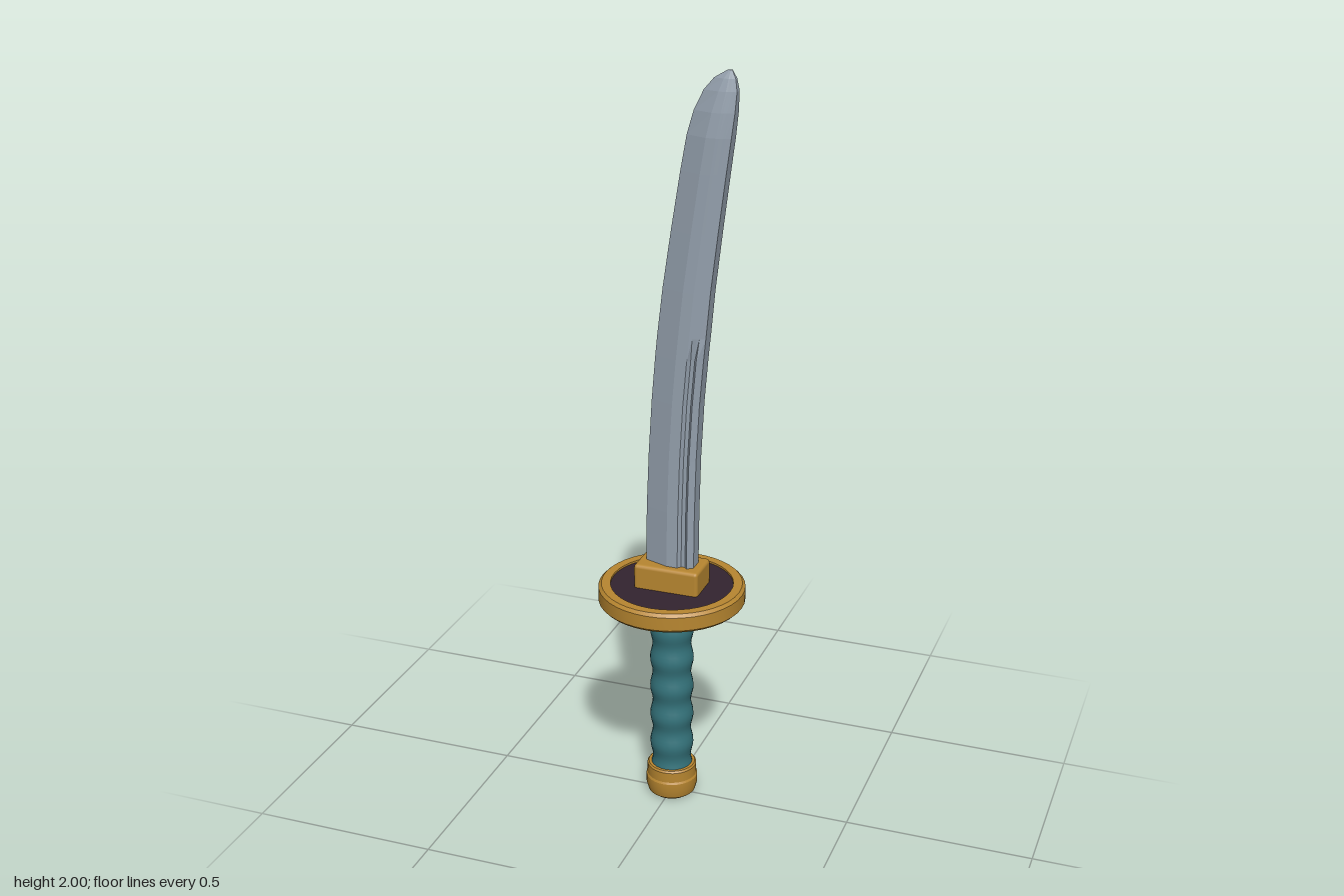
import * as THREE from 'three';
import { RoundedBoxGeometry } from 'three/addons/geometries/RoundedBoxGeometry.js';
import { toCreasedNormals } from 'three/addons/utils/BufferGeometryUtils.js';

const material = (name, color) => {
  const m = new THREE.MeshStandardMaterial({ color });
  m.name = name;
  return m;
};

// Curved blade: horizontal sections between a cutting edge and a spine
function bladeGeometry() {
  // height, edge x, spine x, thickness scale
  const rows = [
    [0.66, -0.069, 0.067, 1], [0.85, -0.066, 0.069, 1], [1.0, -0.06, 0.073, 1],
    [1.15, -0.051, 0.081, 1], [1.27, -0.041, 0.091, 1], [1.33, -0.035, 0.097, 1],
    [1.45, -0.021, 0.108, 1], [1.6, 0.001, 0.126, 0.98], [1.75, 0.025, 0.145, 0.96],
    [1.84, 0.041, 0.157, 0.92], [1.9, 0.058, 0.164, 0.75], [1.95, 0.082, 0.167, 0.5],
    [1.98, 0.107, 0.162, 0.28], [2.0, 0.14, 0.152, 0.06],
  ];
  // fraction across the blade, half thickness with groove, without groove
  const side = [
    [0, 0.01, 0.01], [0.48, 0.034, 0.034], [0.7, 0.034, 0.034], [0.755, 0.024, 0.031],
    [0.835, 0.024, 0.028], [0.885, 0.032, 0.0255], [1, 0.02, 0.02],
  ];
  const points = [];
  for (const [y, edge, spine, k] of rows) {
    const p = side.map(([t, g, s]) => [edge + (spine - edge) * t, k * (y < 1.3 ? g : s)]);
    for (const [x, z] of p) points.push(x, y, z);
    for (const [x, z] of p.reverse()) points.push(x, y, -z);
  }
  const n = side.length * 2, index = [];
  for (let i = 0; i < rows.length - 1; i++) {
    for (let j = 0; j < n; j++) {
      const a = i * n + j, b = i * n + (j + 1) % n;
      index.push(a, b, b + n, a, b + n, a + n);
    }
  }
  const top = (rows.length - 1) * n;
  for (let j = 1; j < n - 1; j++) index.push(top, top + j, top + j + 1);
  const indexed = new THREE.BufferGeometry();
  indexed.setAttribute('position', new THREE.Float32BufferAttribute(points, 3));
  indexed.setIndex(index);
  const g = indexed.toNonIndexed();
  g.computeVertexNormals();
  return g;
}

// Turned part from [radius, height] pairs, listed from bottom to top
const turned = (profile, segments = 32) => toCreasedNormals(
  new THREE.LatheGeometry(profile.map(([r, y]) => new THREE.Vector2(r, y)), segments), 0.5);

export function createModel() {
  const group = new THREE.Group();
  const steel = material('steel', 0x95a1ae);
  const gold = material('gold', 0xb78630);
  const dark = material('dark plum', 0x33232f);
  const teal = material('teal wrap', 0x34727a);

  const add = (name, geometry, mat, y = 0) => {
    const mesh = new THREE.Mesh(geometry, mat);
    mesh.name = name;
    mesh.position.y = y;
    group.add(mesh);
  };

  add('blade', bladeGeometry(), steel);

  // Block holding the blade
  add('bladeCollar', new RoundedBoxGeometry(0.178, 0.075, 0.108, 2, 0.01), gold, 0.658);

  // Round guard: gold rim around a slightly sunken dark plate
  add('guardRim', turned([
    [0.163, 0.582], [0.187, 0.582], [0.195, 0.59], [0.195, 0.627],
    [0.187, 0.635], [0.163, 0.635], [0.163, 0.582],
  ], 40), gold);
  add('guardPlate', new THREE.CylinderGeometry(0.165, 0.165, 0.042, 40), dark, 0.6085);
  add('gripCollar', new THREE.CylinderGeometry(0.066, 0.066, 0.012, 32), gold, 0.585);

  // Wrapped grip with even bulges
  const grip = [];
  for (let i = 0; i <= 48; i++) {
    const t = i / 48;
    grip.push([0.0555 + 0.0035 * Math.cos(t * Math.PI * 12), 0.07 + 0.515 * t]);
  }
  add('grip', turned(grip, 24), teal);

  // Pommel: ring above a chamfered cap
  add('pommelRing', turned([
    [0, 0.055], [0.067, 0.055], [0.067, 0.087], [0.063, 0.092], [0, 0.092],
  ]), gold);
  add('pommelCap', turned([
    [0, 0], [0.054, 0], [0.064, 0.008], [0.07, 0.03], [0.07, 0.053], [0.066, 0.06], [0, 0.06],
  ]), gold);

  return group;
}
